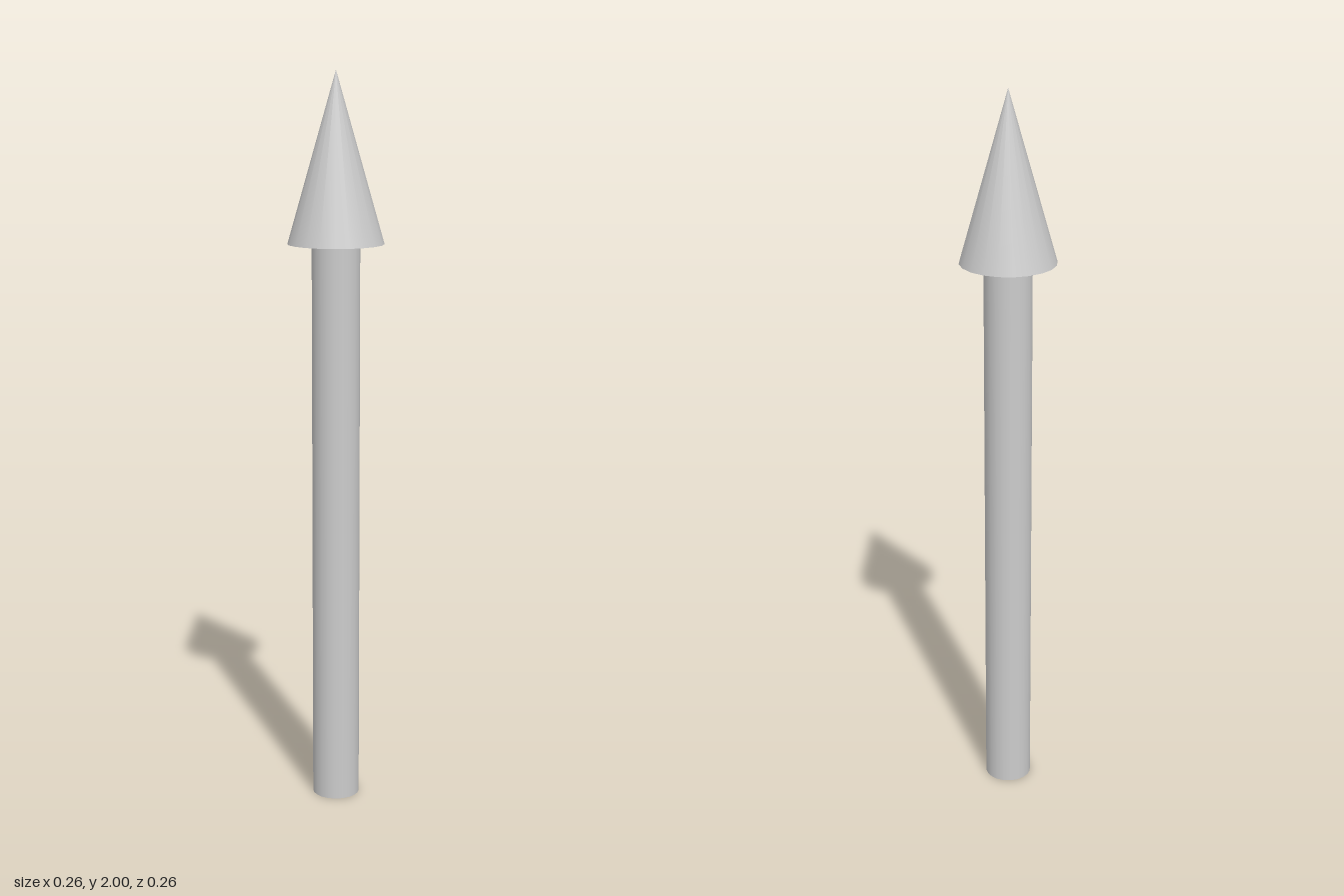
import * as THREE from 'three';

const SIDES = 20;
const SHAFT_HEIGHT = 1.548;
const HEAD_HEIGHT = 2 - SHAFT_HEIGHT;

export function createModel() {
  const model = new THREE.Group();
  model.name = 'arrow';
  const material = new THREE.MeshStandardMaterial({ color: 0xcccccc });

  // Adds a part whose base rests at the given height
  const addPart = (name, geometry, height, baseY) => {
    const mesh = new THREE.Mesh(geometry, material);
    mesh.name = name;
    mesh.position.y = baseY + height / 2;
    model.add(mesh);
  };

  // Round shaft standing on the ground
  addPart('shaft', new THREE.CylinderGeometry(0.0645, 0.0645, SHAFT_HEIGHT, SIDES), SHAFT_HEIGHT, 0);

  // Pointed head with a closed, overhanging base
  addPart('arrowHead', new THREE.ConeGeometry(0.129, HEAD_HEIGHT, SIDES), HEAD_HEIGHT, SHAFT_HEIGHT);

  return model;
}
